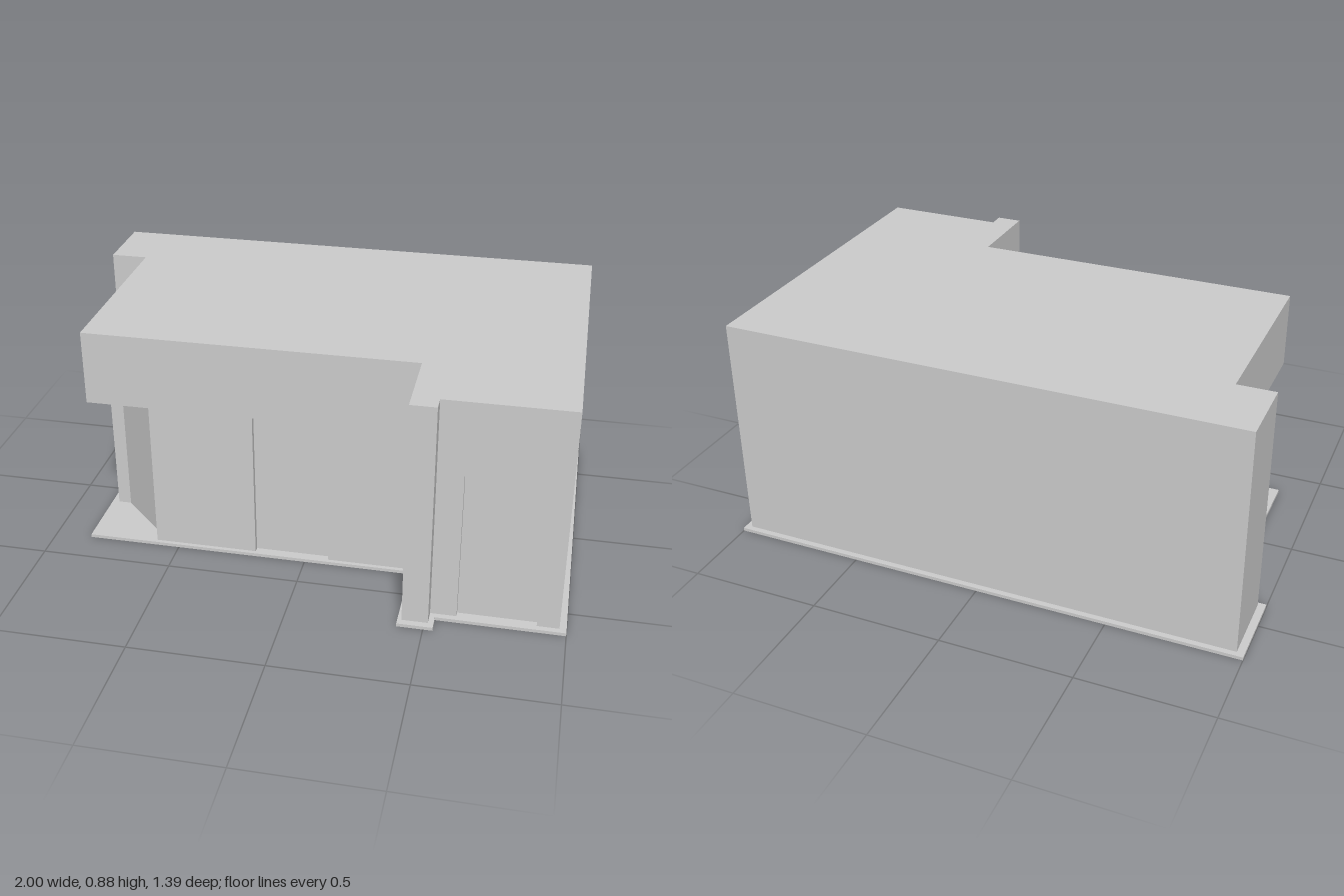
import * as THREE from 'three';

const BASE = 0.0125, HEAD = 0.595, TOP = 0.88; // plinth top, door head, roof
const FRONT = 0.355, WING = 0.61, DEPTH = 0.022; // facade planes, door recess

const material = new THREE.MeshStandardMaterial({ color: 0xcccccc, side: THREE.DoubleSide });

// Plan points are [x, z]
const toShape = (pts) => new THREE.Shape(pts.map(([x, z]) => new THREE.Vector2(x, -z)));

function add(group, name, geometry) {
  const mesh = new THREE.Mesh(geometry, material);
  mesh.name = name;
  group.add(mesh);
}

// Vertical walls following a closed plan outline, facing outward
function wallRibbon(pts, y0, y1) {
  const pos = [];
  pts.forEach(([ax, az], i) => {
    const [bx, bz] = pts[(i + 1) % pts.length];
    pos.push(ax, y0, az, ax, y1, az, bx, y1, bz);
    pos.push(ax, y0, az, bx, y1, bz, bx, y0, bz);
  });
  const g = new THREE.BufferGeometry();
  g.setAttribute('position', new THREE.Float32BufferAttribute(pos, 3));
  g.computeVertexNormals();
  return g;
}

// Downward-facing panel
function soffit(pts, y) {
  const g = new THREE.ShapeGeometry(new THREE.Shape(pts.map(([x, z]) => new THREE.Vector2(x, z))));
  return g.rotateX(Math.PI / 2).translate(0, y, 0);
}

// Door niche corners, running from +x to -x along a front wall
const niche = (x0, x1, z) => [[x1, z], [x1, z - DEPTH], [x0, z - DEPTH], [x0, z]];

export function createModel() {
  const model = new THREE.Group();
  model.name = 'building';

  const wingDoor = niche(0.61, 0.895, WING);
  const mainDoor = niche(-0.195, 0.09, FRONT);
  // Diagonal corner entrance with short jambs
  const corner = [[-0.59, FRONT], [-0.59, 0.307], [-0.78, 0.117], [-0.83, 0.117]];

  const back = [[-0.972, -0.677], [0.975, -0.677], [0.975, WING]];
  const pier = [[0.515, WING], [0.515, 0.67], [0.42, 0.67], [0.42, FRONT]];
  const side = [[-0.83, -0.4], [-0.972, -0.4]];

  const upper = [...back, ...pier, [-0.83, FRONT], ...side];
  const lower = [...back, ...wingDoor, ...pier, ...mainDoor, ...corner, ...side];

  // Plinth ring around the walls, filling the niches
  const plinth = toShape([
    [-1, -0.698], [1, -0.698], [1, 0.632], [0.535, 0.632], [0.535, 0.695], [0.405, 0.695],
    [0.405, 0.37], [-0.857, 0.37], [-0.857, -0.385], [-1, -0.385],
  ]);
  plinth.holes.push(toShape(lower));
  const plinthGeo = new THREE.ExtrudeGeometry(plinth, { depth: BASE, bevelEnabled: false });
  add(model, 'plinth', plinthGeo.rotateX(-Math.PI / 2));

  // Walls and roof
  add(model, 'lowerWalls', wallRibbon(lower, BASE, HEAD));
  add(model, 'upperWalls', wallRibbon(upper, HEAD, TOP));
  add(model, 'roof', new THREE.ShapeGeometry(toShape(upper)).rotateX(-Math.PI / 2).translate(0, TOP, 0));

  // Undersides above the niches and the corner entrance
  add(model, 'wingDoorHead', soffit(wingDoor, HEAD));
  add(model, 'mainDoorHead', soffit(mainDoor, HEAD));
  add(model, 'cornerSoffit', soffit([...corner, [-0.83, FRONT]], HEAD));

  return model;
}
